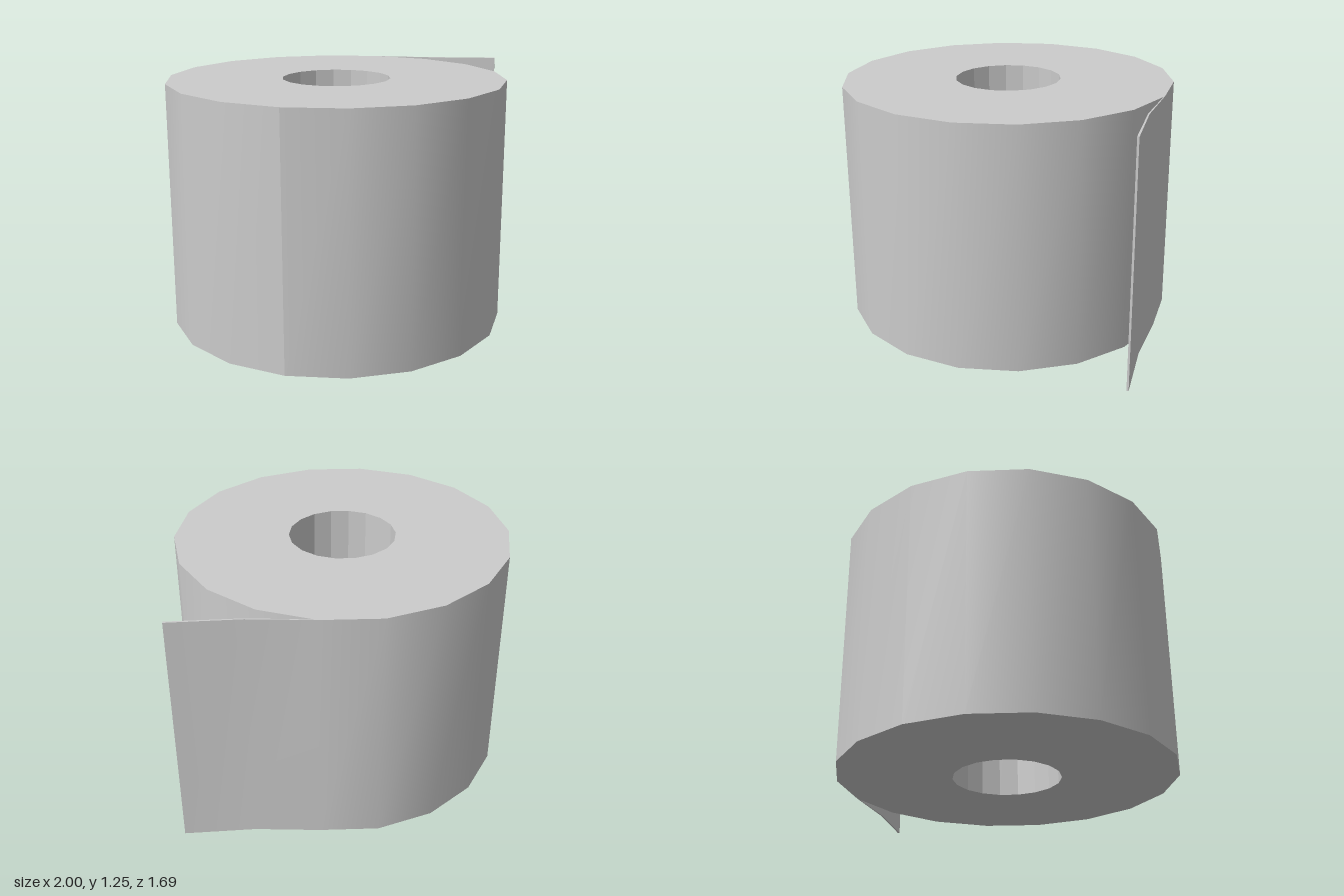
import * as THREE from 'three';

const HEIGHT = 1.25, CENTRE_X = -0.143, OUTER = 0.857, BORE = 0.274;

// Plan points [x, z] on a circle, every 20 degrees from one angle to another
function arc(radius, from, to) {
  const points = [], step = Math.sign(to - from) * 20;
  for (let i = 0; i <= Math.abs(to - from) / 20; i++) {
    const a = THREE.MathUtils.degToRad(from + i * step);
    points.push([CENTRE_X + radius * Math.cos(a), radius * Math.sin(a)]);
  }
  return points;
}

// Upright wall along a plan path, with smooth normals along the path
function wall(path) {
  const positions = [], index = [];
  path.forEach(([x, z], i) => {
    positions.push(x, 0, z, x, HEIGHT, z);
    const a = 2 * i;
    if (i < path.length - 1) index.push(a, a + 2, a + 3, a, a + 3, a + 1);
  });
  const geometry = new THREE.BufferGeometry();
  geometry.setAttribute('position', new THREE.Float32BufferAttribute(positions, 3));
  geometry.setIndex(index);
  geometry.computeVertexNormals();
  return geometry;
}

// Flat horizontal face from a plan outline, facing up or down
function cap(outline, hole, up) {
  const toVectors = pts => pts.map(([x, z]) => new THREE.Vector2(x, up ? -z : z));
  const shape = new THREE.Shape(toVectors(outline));
  if (hole) shape.holes.push(new THREE.Path(toVectors(hole)));
  const geometry = new THREE.ShapeGeometry(shape);
  geometry.rotateX(up ? -Math.PI / 2 : Math.PI / 2);
  if (up) geometry.translate(0, HEIGHT, 0);
  return geometry;
}

export function createModel() {
  const model = new THREE.Group();
  model.name = 'paperRoll';
  const smooth = new THREE.MeshStandardMaterial({ color: 0xcccccc });
  const flat = new THREE.MeshStandardMaterial({ color: 0xcccccc, flatShading: true });
  const add = (name, geometry, material) => {
    const mesh = new THREE.Mesh(geometry, material);
    mesh.name = name;
    model.add(mesh);
  };

  // Outer and inner side of the loose sheet, running from its tip to the roll
  const sheetOuter = [[1, 0.3], [0.808, 0]];
  const sheetInner = [[0.99, 0.304], [0.799, 0], [0.658, -0.293]];
  const join = arc(OUTER, -20, -20)[0];

  // Outermost layer: loose sheet flowing into the far half of the roll
  add('outerLayer', wall([...sheetOuter, ...arc(OUTER, -20, -200)]), smooth);
  // Remaining half of the roll, tucked under the sheet
  add('rollSide', wall(arc(OUTER, 160, -20)), smooth);

  // Sheet back, end and thin edges
  add('sheetBack', wall([...sheetInner].reverse()), smooth);
  add('sheetEnd', wall([sheetInner[0], sheetOuter[0]]), flat);
  const sheetOutline = [...sheetOuter, join, ...[...sheetInner].reverse()];

  // Roll ends and sheet edges, top and bottom
  const rim = arc(OUTER, 0, 340), bore = arc(BORE, 0, 340);
  for (const up of [true, false]) {
    const side = up ? 'Top' : 'Bottom';
    add('roll' + side, cap(rim, bore, up), flat);
    add('sheetEdge' + side, cap(sheetOutline, null, up), flat);
  }

  // Faceted hole through the middle
  add('bore', wall(arc(BORE, 0, 360)), flat);
  return model;
}
